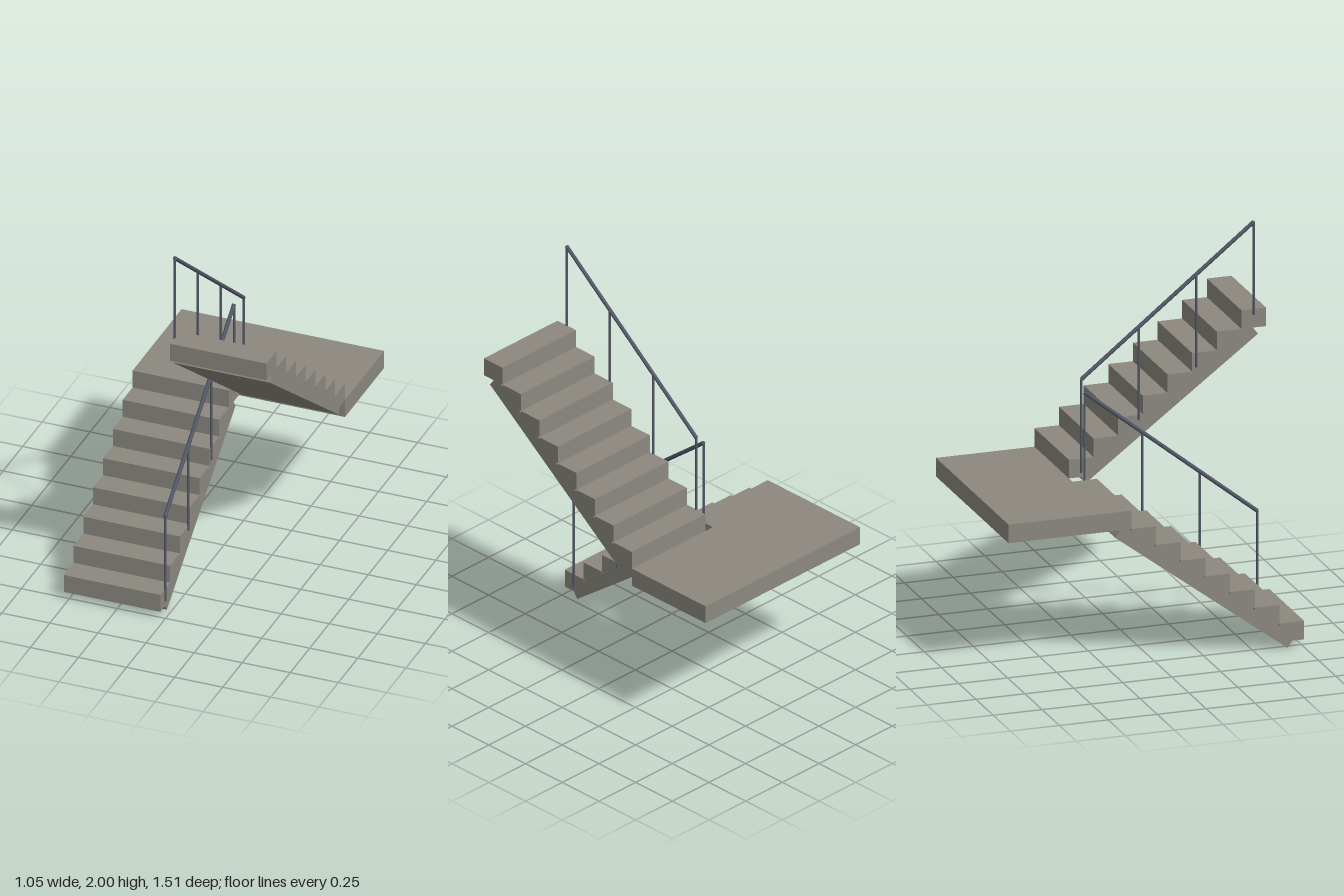
import * as THREE from 'three';

const RISE = 0.0945, RUN = 0.1259, STEPS = 8;
const WIDTH = 0.502, GAP = 0.025, DEPTH = 0.755;

const concrete = new THREE.MeshStandardMaterial({ color: 0x8c8880 });
concrete.name = 'concrete';
const steel = new THREE.MeshStandardMaterial({ color: 0x525866 });
steel.name = 'steel';

function box(name, x, y0, y1, z0, z1, width) {
  const mesh = new THREE.Mesh(new THREE.BoxGeometry(width, y1 - y0, z1 - z0), concrete);
  mesh.name = name;
  mesh.position.set(x, (y0 + y1) / 2, (z0 + z1) / 2);
  return mesh;
}

// Round bar between two points
function bar(name, a, b, radius) {
  const dir = b.clone().sub(a);
  const mesh = new THREE.Mesh(new THREE.CylinderGeometry(radius, radius, dir.length(), 10), steel);
  mesh.name = name;
  mesh.position.copy(a).add(b).multiplyScalar(0.5);
  mesh.quaternion.setFromUnitVectors(new THREE.Vector3(0, 1, 0), dir.normalize());
  return mesh;
}

// Steps on a sloping slab; dir is the z direction of climbing
function flight(name, side, baseY, startZ, dir, slabStart) {
  const group = new THREE.Group();
  group.name = name;
  const x = side * (GAP + WIDTH / 2);
  for (let i = 0; i < STEPS; i++) {
    const za = startZ + dir * i * RUN, zb = za + dir * RUN;
    const y = baseY + i * RISE;
    group.add(box('step', x, y, y + RISE, Math.min(za, zb), Math.max(za, zb), WIDTH));
  }
  // Slab under the steps, built from its lowest bottom edge
  const angle = Math.atan2(RISE, RUN), length = 1.1, thick = 0.07;
  const slab = new THREE.Mesh(new THREE.BoxGeometry(WIDTH, thick, length), concrete);
  slab.name = 'slab';
  slab.rotation.x = -dir * angle;
  const c = Math.cos(angle), s = Math.sin(angle);
  slab.position.set(
    x,
    slabStart.y + s * length / 2 + c * thick / 2,
    slabStart.z + dir * (c * length / 2 - s * thick / 2)
  );
  group.add(slab);
  return group;
}

// Four posts carrying a sloping handrail
function railing(name, x, z0, z1, y0, y1) {
  const group = new THREE.Group();
  group.name = name;
  const start = new THREE.Vector3(x, y0, z0), end = new THREE.Vector3(x, y1, z1);
  for (let i = 0; i < 4; i++) {
    const top = start.clone().lerp(end, i / 3);
    const foot = top.clone();
    foot.y -= 0.474;
    group.add(bar('post', foot, top, 0.006));
  }
  group.add(bar('handrail', start, end, 0.01));
  return group;
}

export function createModel() {
  const model = new THREE.Group();
  model.name = 'staircase';
  const landingTop = 0.79;

  model.add(flight('lowerFlight', -1, landingTop - STEPS * RISE, DEPTH, -1, { y: 0, z: 0.67 }));
  model.add(flight('upperFlight', 1, landingTop, -0.252, 1, { y: 0.757, z: -0.166 }));
  model.add(box('landing', 0, landingTop - RISE, landingTop, -DEPTH, -0.252, 2 * (GAP + WIDTH)));
  model.add(railing('lowerRailing', -GAP, 0.693, -0.19, 0.534, 1.237));
  model.add(railing('upperRailing', GAP, -0.19, 0.693, 1.287, 1.991));
  return model;
}
